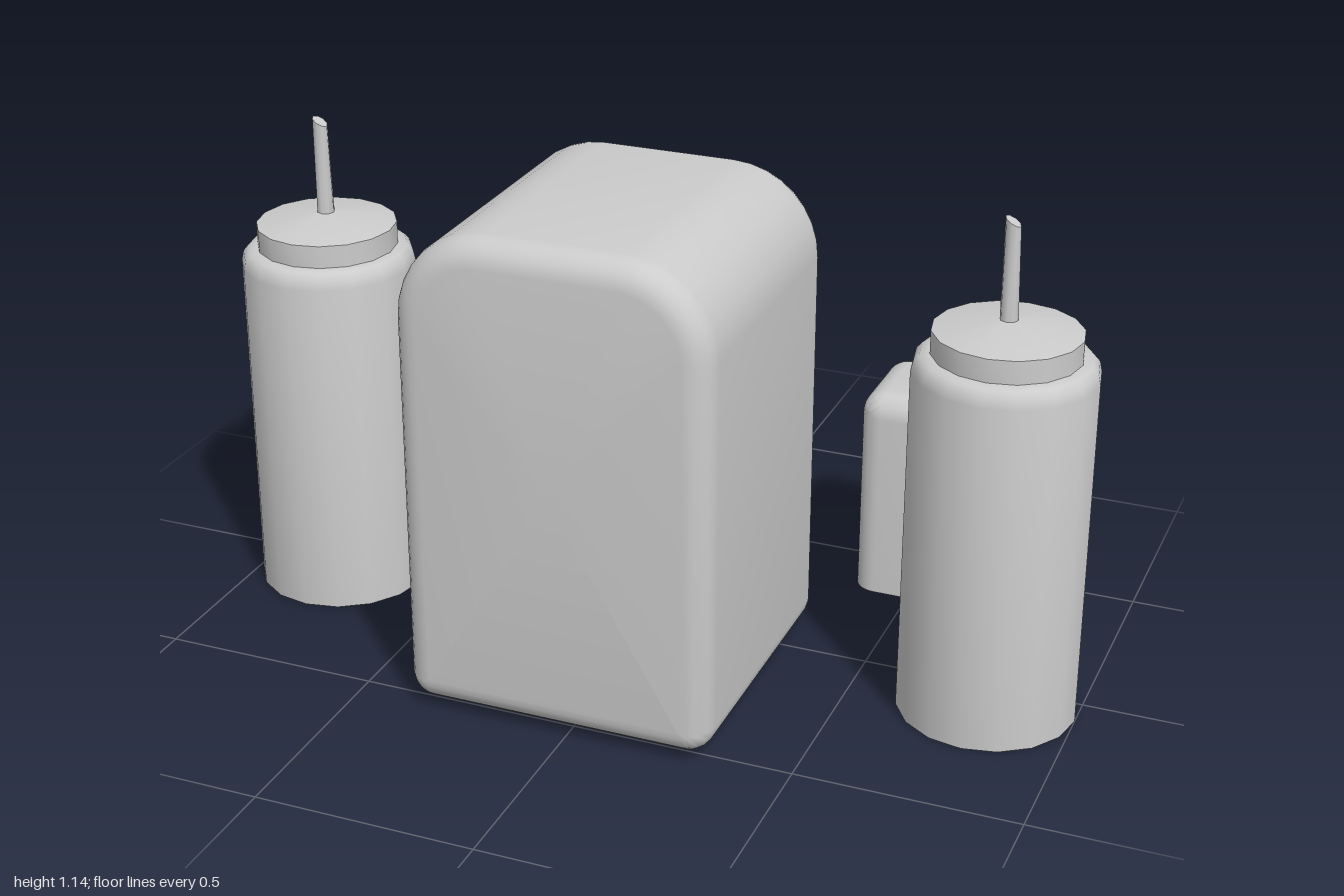
import * as THREE from 'three';
import { toCreasedNormals } from 'three/addons/utils/BufferGeometryUtils.js';
import { RoundedBoxGeometry } from 'three/addons/geometries/RoundedBoxGeometry.js';

const grey = new THREE.MeshStandardMaterial({ color: 0xcccccc });
const greyDouble = new THREE.MeshStandardMaterial({ color: 0xcccccc, side: THREE.DoubleSide });

function addMesh(parent, name, geometry, material = grey) {
  const mesh = new THREE.Mesh(geometry, material);
  mesh.name = name;
  parent.add(mesh);
  return mesh;
}

// Dispenser dimensions
const BOX = { cx: -0.022, w: 0.352, y0: 0.02, y1: 1.12, front: 0.565, back: -0.142, rTop: 0.2, rBottom: 0.06 };
const BEVEL = 0.06, OPENING = 0.075, RECESS = 0.05;

// Arched outline, counter-clockwise from the front, shrunk by inset
function outline(inset) {
  const points = [], steps = 8;
  const corners = [[1, 0, BOX.rBottom], [1, 1, BOX.rTop], [-1, 1, BOX.rTop], [-1, 0, BOX.rBottom]];
  corners.forEach(([sx, top, radius], k) => {
    const x = sx * (BOX.w - radius);
    const y = top ? BOX.y1 - radius : BOX.y0 + radius;
    const r = radius - inset;
    for (let i = 0; i <= steps; i++) {
      const a = (k - 1 + i / steps) * Math.PI / 2;
      // once the inset passes the corner radius, the corner stays square
      const rr = Math.max(r, 0.004), shift = rr - r;
      points.push([x - sx * shift + rr * Math.cos(a), y + (top ? -shift : shift) + rr * Math.sin(a)]);
    }
  });
  return points;
}

// Skin joining rings of equal point count, from front to back
function loft(rings) {
  const n = rings[0].length, index = [];
  for (let r = 0; r < rings.length - 1; r++) {
    for (let i = 0; i < n; i++) {
      const j = (i + 1) % n;
      const a = r * n + i, a1 = r * n + j, b = a + n, b1 = a1 + n;
      index.push(a, b, a1, b, b1, a1);
    }
  }
  const geometry = new THREE.BufferGeometry();
  geometry.setAttribute('position', new THREE.Float32BufferAttribute(rings.flat(2), 3));
  geometry.setIndex(index);
  return toCreasedNormals(geometry, 0.6);
}

function createDispenser() {
  const group = new THREE.Group();
  group.name = 'napkinDispenser';
  group.position.x = BOX.cx;
  const midY = (BOX.y0 + BOX.y1) / 2;
  const ring = (inset, z) => outline(inset).map(([x, y]) => [x, y, z]);
  const centre = (z) => outline(0).map(() => [0, midY, z]);

  // Housing: front face, rounded edges, sides, rear rim and recess
  const rings = [centre(BOX.front)], steps = 6;
  for (let i = 0; i <= steps; i++) {
    const a = i / steps * Math.PI / 2;
    rings.push(ring(BEVEL * (1 - Math.sin(a)), BOX.front - BEVEL * (1 - Math.cos(a))));
  }
  for (let i = steps; i >= 0; i--) {
    const a = i / steps * Math.PI / 2;
    rings.push(ring(BEVEL * (1 - Math.sin(a)), BOX.back + BEVEL * (1 - Math.cos(a))));
  }
  rings.push(ring(OPENING, BOX.back), ring(OPENING, BOX.back + RECESS), centre(BOX.back + RECESS));
  addMesh(group, 'housing', loft(rings));

  // Crumpled napkin filling the rear opening
  const hw = BOX.w - OPENING, hh = midY - BOX.y0 - OPENING, corner = BOX.rTop - OPENING;
  const napkin = new THREE.PlaneGeometry(hw * 2, hh * 2, 28, 46).rotateY(Math.PI);
  const pos = napkin.attributes.position;
  for (let i = 0; i < pos.count; i++) {
    const x = pos.getX(i), y = pos.getY(i);
    const r = y > 0 ? corner : 0.01;
    const qx = Math.abs(x) - hw + r, qy = Math.abs(y) - hh + r;
    const depth = r - Math.hypot(Math.max(qx, 0), Math.max(qy, 0)) - Math.min(Math.max(qx, qy), 0);
    const rise = THREE.MathUtils.smoothstep(depth, 0, 0.08);
    const wrinkle = 0.009 * Math.sin(13 * x + 8 * y + 2 * Math.sin(9 * y))
      + 0.007 * Math.sin(21 * y - 11 * x + 1.5 * Math.sin(17 * x))
      + 0.004 * Math.sin(34 * x + 19 * y + 1);
    pos.setZ(i, -0.12 - rise * (0.04 + wrinkle));
  }
  napkin.computeVertexNormals();
  addMesh(group, 'napkin', napkin, greyDouble).position.y = midY;
  return group;
}

// Squeeze bottle: body, stepped lid and slant-cut nozzle
function createBottle(name, x, z) {
  const group = new THREE.Group();
  group.name = name;
  group.position.set(x, 0, z);
  const lathe = (profile) => toCreasedNormals(
    new THREE.LatheGeometry(profile.map(([r, y]) => new THREE.Vector2(r, y)), 16), 0.7);
  addMesh(group, 'bottleBody', lathe([[0, 0], [0.199, 0], [0.199, 0.8], [0.194, 0.822], [0.182, 0.836], [0.165, 0.84], [0, 0.84]]));
  addMesh(group, 'bottleLid', lathe([[0.16, 0.835], [0.16, 0.892], [0.02, 0.917], [0, 0.917]]));

  const nozzle = new THREE.CylinderGeometry(0.017, 0.02, 0.22, 8);
  nozzle.translate(0, 1.02, 0);
  const pos = nozzle.attributes.position;
  for (let i = 0; i < pos.count; i++) {
    if (pos.getY(i) > 1.1) {
      pos.setY(i, 1.131 - 0.6 * pos.getX(i));
      pos.setX(i, pos.getX(i) - 0.003);
    }
  }
  addMesh(group, 'bottleNozzle', toCreasedNormals(nozzle, 0.9));
  return group;
}

// Shaker: rounded block with its lower edge flattened
function createShaker(name, x) {
  const width = 0.272, radius = 0.055, bottom = 0.012, top = 0.515;
  const height = top - bottom + radius;
  const geometry = new RoundedBoxGeometry(width, height, width, 5, radius);
  geometry.translate(0, top - height / 2, 0);
  const pos = geometry.attributes.position;
  for (let i = 0; i < pos.count; i++) pos.setY(i, Math.max(pos.getY(i), bottom));
  const mesh = new THREE.Mesh(toCreasedNormals(geometry, 0.6), grey);
  mesh.name = name;
  mesh.position.set(x, 0, -0.431);
  return mesh;
}

export function createModel() {
  const model = new THREE.Group();
  model.name = 'condimentSet';
  model.add(
    createDispenser(),
    createBottle('rightBottle', -0.803, 0.044),
    createBottle('leftBottle', 0.801, 0.073),
    createShaker('rightShaker', -0.578),
    createShaker('leftShaker', 0.505),
  );
  return model;
}
